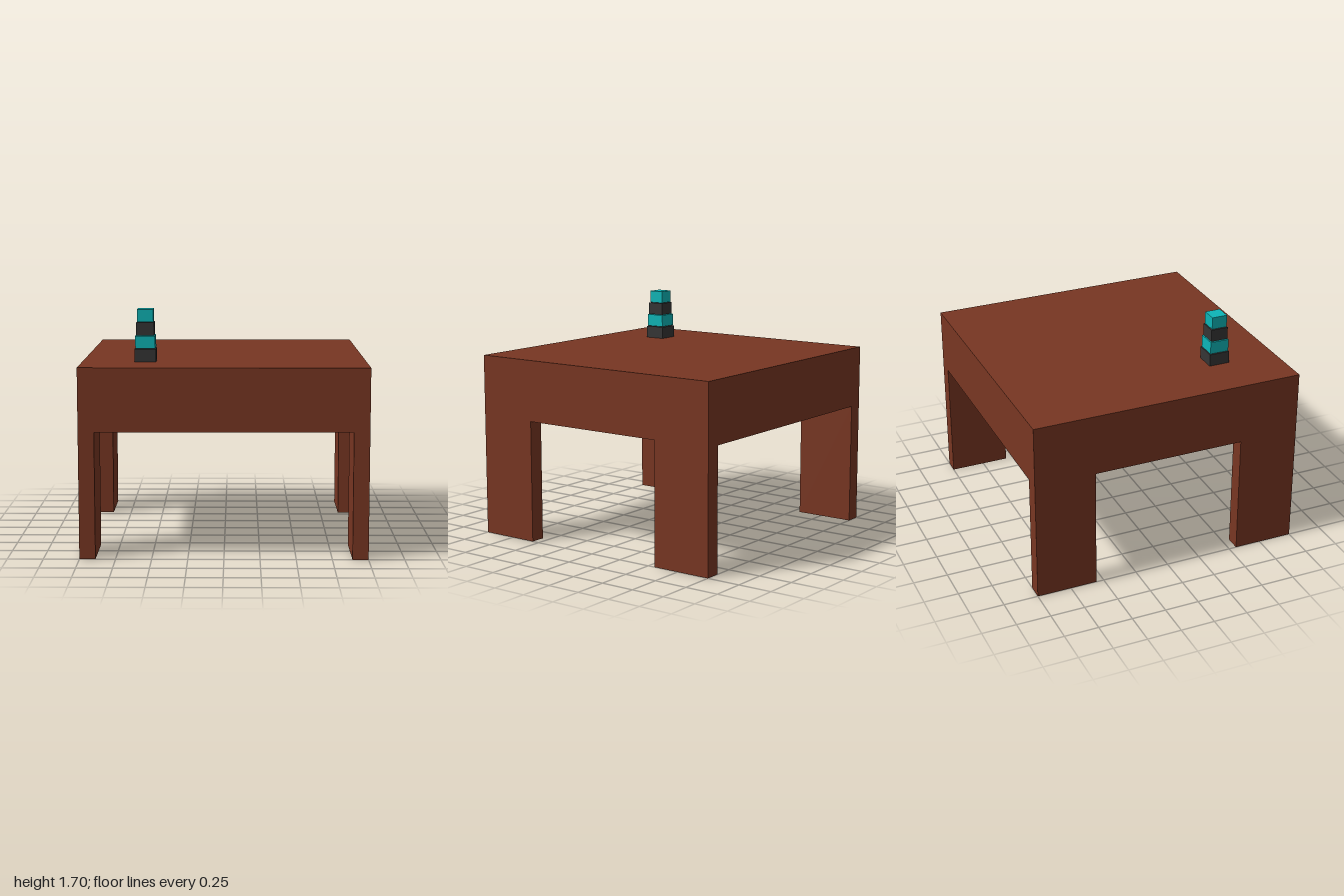
import * as THREE from 'three';

const brown = new THREE.MeshStandardMaterial({ color: 0x783622 });
const teal = new THREE.MeshStandardMaterial({ color: 0x0db5b7 });
const charcoal = new THREE.MeshStandardMaterial({ color: 0x353535 });

function box(name, size, position, material) {
  const mesh = new THREE.Mesh(new THREE.BoxGeometry(...size), material);
  mesh.name = name;
  mesh.position.set(...position);
  return mesh;
}

export function createModel() {
  const model = new THREE.Group();
  model.name = 'tableWithBlocks';

  // Thick square table top
  const legHeight = 0.889, topY = 1.333;
  model.add(box('tableTop', [2, topY - legHeight, 2], [0, (topY + legHeight) / 2, 0], brown));

  // Four plank legs flush with the corners
  const legX = 0.111, legZ = 0.444;
  for (const [xName, sx] of [['Left', 1], ['Right', -1]]) {
    for (const [zName, sz] of [['front', 1], ['back', -1]]) {
      model.add(box(`${zName}${xName}Leg`, [legX, legHeight, legZ],
        [sx * (1 - legX / 2), legHeight / 2, sz * (1 - legZ / 2)], brown));
    }
  }

  // Stack of alternating blocks, shrinking upward
  const stack = new THREE.Group();
  stack.name = 'blockStack';
  stack.position.set(-0.556, topY, 0.556);
  const height = 0.089, step = 0.0926;
  [0.152, 0.14, 0.127, 0.114].forEach((width, i) => {
    stack.add(box(`stackBlock${i + 1}`, [width, height, width],
      [0, i * step + height / 2, 0], i % 2 ? teal : charcoal));
  });
  model.add(stack);

  return model;
}
